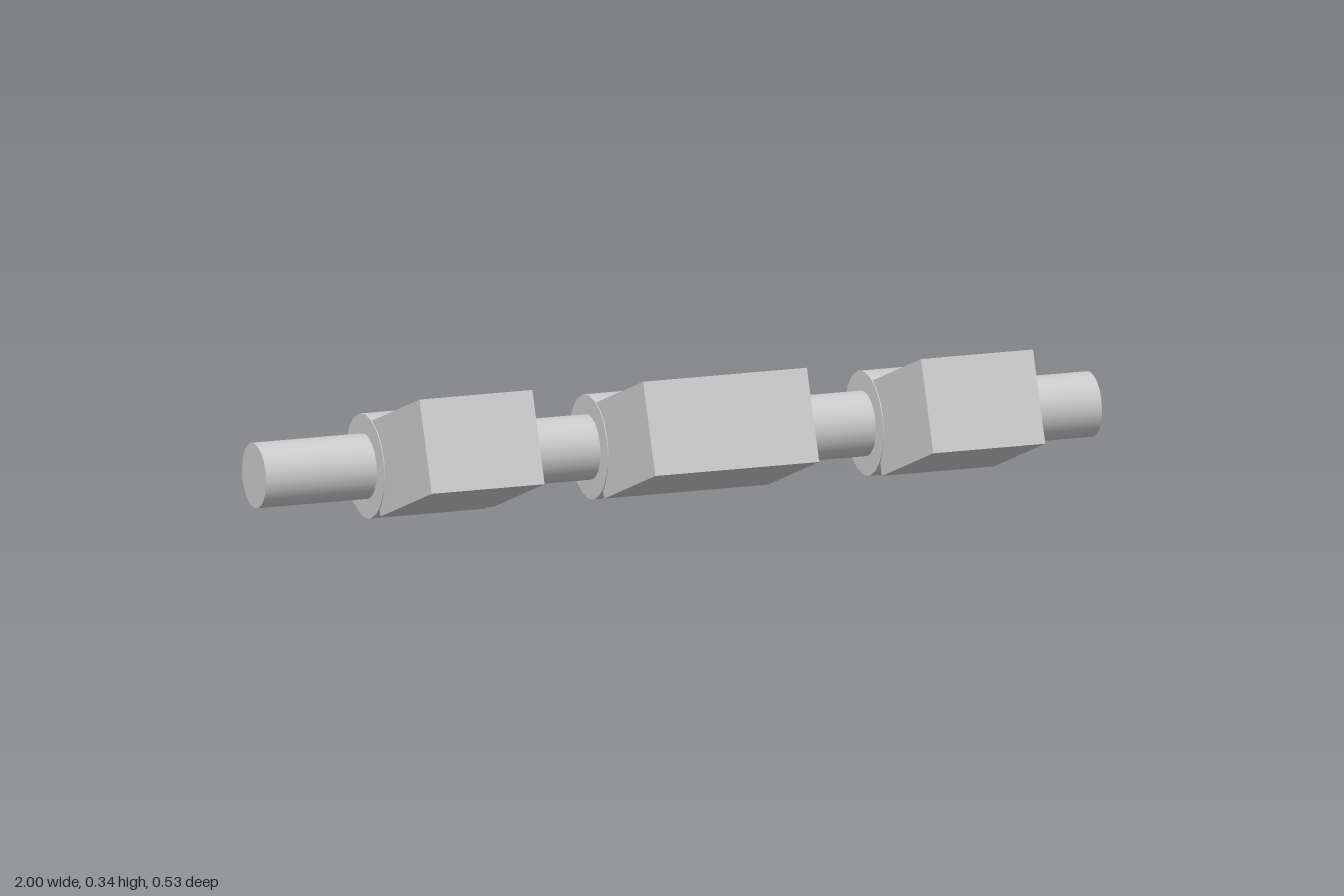
import * as THREE from 'three';

const AXIS_Y = 0.12, AXIS_Z = -0.148; // centre line of the rod
const TILT = -0.357;                  // blocks slope up towards the front

export function createModel() {
  const group = new THREE.Group();
  const material = new THREE.MeshStandardMaterial({ color: 0xcccccc });

  const add = (name, geometry, x, y, z) => {
    const mesh = new THREE.Mesh(geometry, material);
    mesh.name = name;
    mesh.position.set(x, y, z);
    group.add(mesh);
    return mesh;
  };

  // Round bar lying along x
  const bar = (name, radius, x0, x1) => {
    const geometry = new THREE.CylinderGeometry(radius, radius, x1 - x0, 20).rotateZ(Math.PI / 2);
    return add(name, geometry, (x0 + x1) / 2, AXIS_Y, AXIS_Z);
  };

  bar('rod', 0.0735, -1, 1);

  // Three collars, each carrying a tilted block
  const lobes = [
    { name: 'right', x0: -0.733, x1: -0.463, y: 0.181, z: 0.06 },
    { name: 'middle', x0: -0.198, x1: 0.194, y: 0.178, z: 0.06 },
    { name: 'left', x0: 0.461, x1: 0.729, y: 0.179, z: 0.075 },
  ];
  for (const { name, x0, x1, y, z } of lobes) {
    bar(name + 'Collar', 0.118, x0 - 0.002, x1 + 0.002);
    const block = add(name + 'Block', new THREE.BoxGeometry(x1 - x0, 0.213, 0.332), (x0 + x1) / 2, y, z);
    block.rotation.x = TILT;
  }

  return group;
}
